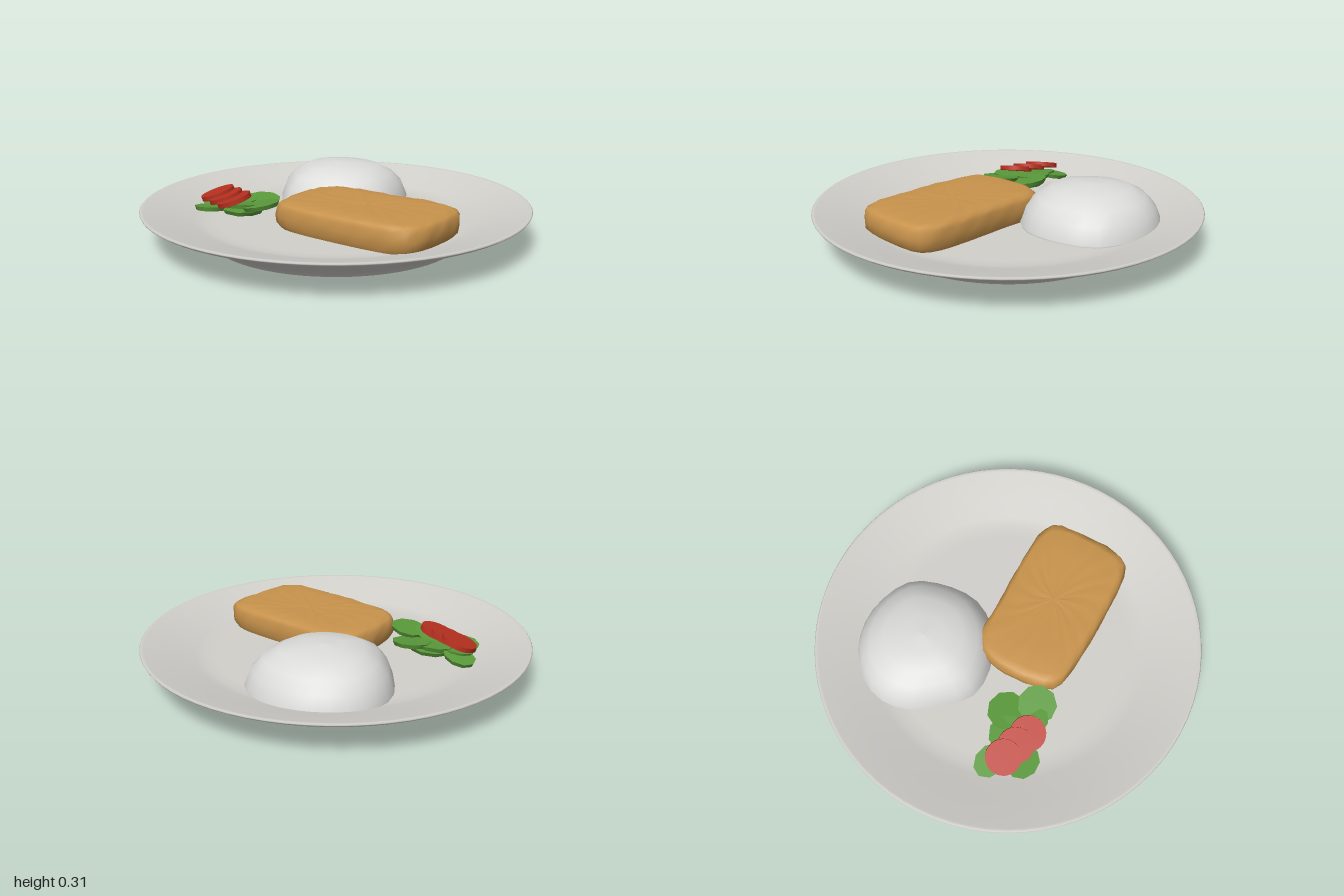
import * as THREE from 'three';

const mat = (name, color) => {
  const m = new THREE.MeshStandardMaterial({ color });
  m.name = name;
  return m;
};

// Stacks scaled copies of a closed [x, z] outline; rings are [scale, y] from bottom to top.
function loft(outline, count, rings, bump = 0) {
  const curve = new THREE.CatmullRomCurve3(outline.map(([x, z]) => new THREE.Vector3(x, 0, z)), true, 'centripetal');
  const pts = curve.getSpacedPoints(count).slice(0, count);
  const pos = [], index = [];
  rings.forEach(([s, y], r) => {
    pts.forEach((p, i) => {
      const wave = bump * (Math.sin(i * 2.3 + r * 1.7) + Math.sin(i * 0.9 - r * 2.1)) * (s > 0.01 ? 1 : 0);
      pos.push(p.x * s * (1 + wave), y + wave * 0.3, p.z * s * (1 + wave));
    });
  });
  for (let r = 0; r < rings.length - 1; r++) {
    for (let i = 0; i < count; i++) {
      const a = r * count + i, b = r * count + (i + 1) % count;
      index.push(a, a + count, b, b, a + count, b + count);
    }
  }
  const g = new THREE.BufferGeometry();
  g.setAttribute('position', new THREE.Float32BufferAttribute(pos, 3));
  g.setIndex(index);
  g.computeVertexNormals();
  return g;
}

export function createModel() {
  const model = new THREE.Group();
  const china = mat('china', 0xd2d0cb);
  const riceWhite = mat('riceWhite', 0xdcdcda);
  const crust = mat('crust', 0xc8934c);
  const leafGreen = mat('leafGreen', 0x5a9a3a);
  const tomatoRed = mat('tomatoRed', 0xb83020);

  const add = (name, geometry, material, x = 0, y = 0, z = 0, parent = model) => {
    const m = new THREE.Mesh(geometry, material);
    m.name = name;
    m.position.set(x, y, z);
    parent.add(m);
    return m;
  };

  // Plate: sloping underside, thin rim and sunken floor
  const profile = [[0.65, 0], [0.66, 0.012], [0.69, 0.033], [0.8, 0.085], [0.98, 0.163], [0.997, 0.174],
    [1, 0.18], [0.995, 0.185], [0.98, 0.183], [0.85, 0.148], [0.73, 0.113], [0.68, 0.102], [0.62, 0.1], [0, 0.1]];
  add('plate', new THREE.LatheGeometry(profile.map(([r, y]) => new THREE.Vector2(r, y)), 72), china);
  const base = add('plateBase', new THREE.CircleGeometry(0.65, 72), china);
  base.rotation.x = Math.PI / 2;

  // Mound of rice, slightly lumpy around its foot
  const radii = [0.37, 0.36, 0.355, 0.365, 0.33, 0.35, 0.37, 0.365, 0.36, 0.365, 0.385, 0.365];
  const foot = radii.map((r, i) => {
    const a = i / radii.length * Math.PI * 2;
    return [r * Math.cos(a), r * Math.sin(a)];
  });
  add('riceMound', loft(foot, 28, [[0.98, 0.09], [1, 0.11], [0.91, 0.19], [0.77, 0.245], [0.56, 0.285],
    [0.28, 0.3], [0.001, 0.307]]), riceWhite, -0.33, 0, -0.275);

  // Breaded fillet: rounded slab with an uneven crust
  const slab = [[-0.16, 0.02], [-0.12, -0.09], [0.1, -0.17], [0.54, -0.3], [0.63, -0.28], [0.68, -0.18],
    [0.745, 0.08], [0.73, 0.15], [0.65, 0.2], [0.1, 0.36], [-0.02, 0.36], [-0.09, 0.27]];
  add('fillet', loft(slab.map(([x, z]) => [x - 0.3, z - 0.03]), 48, [[0.93, 0.095], [0.985, 0.125], [1, 0.165],
    [0.99, 0.205], [0.955, 0.226], [0.88, 0.238], [0.6, 0.24], [0.3, 0.237], [0.001, 0.238]], 0.005),
  crust, 0.3, 0, 0.03);

  // Lettuce: x, y, z, radius in x, radius in z, tilt about x, tilt about z
  const salad = new THREE.Group();
  salad.name = 'salad';
  model.add(salad);
  const leaves = [
    [-0.28, 0.17, 0.28, 0.105, 0.1, 0.1, -0.1],
    [-0.51, 0.145, 0.4, 0.095, 0.075, 0, 0.2],
    [-0.15, 0.185, 0.365, 0.1, 0.1, 0.1, 0.15],
    [-0.4, 0.145, 0.52, 0.09, 0.08, -0.1, 0.1],
    [-0.36, 0.165, 0.37, 0.1, 0.1, 0.1, 0],
    [-0.25, 0.175, 0.42, 0.11, 0.07, -0.1, 0.1],
    [-0.45, 0.15, 0.44, 0.09, 0.08, 0.15, 0],
    [-0.31, 0.135, 0.38, 0.13, 0.11, 0, 0],
  ];
  leaves.forEach(([x, y, z, rx, rz, tx, tz], n) => {
    const g = new THREE.CylinderGeometry(1, 0.9, 0.022, 9);
    g.rotateY(n * 0.7);
    g.scale(rx, 1, rz);
    const leaf = add('lettuceLeaf', g.toNonIndexed(), leafGreen, x, y, z, salad);
    leaf.rotation.set(tx, 0, tz);
  });

  // Three overlapping tomato slices
  for (const x of [-0.46, -0.375, -0.29]) {
    const slice = add('tomatoSlice', new THREE.CylinderGeometry(0.09, 0.09, 0.025, 28), tomatoRed, x, 0.2, 0.44, salad);
    slice.rotation.set(0.26, 0, 0.2);
  }
  return model;
}
